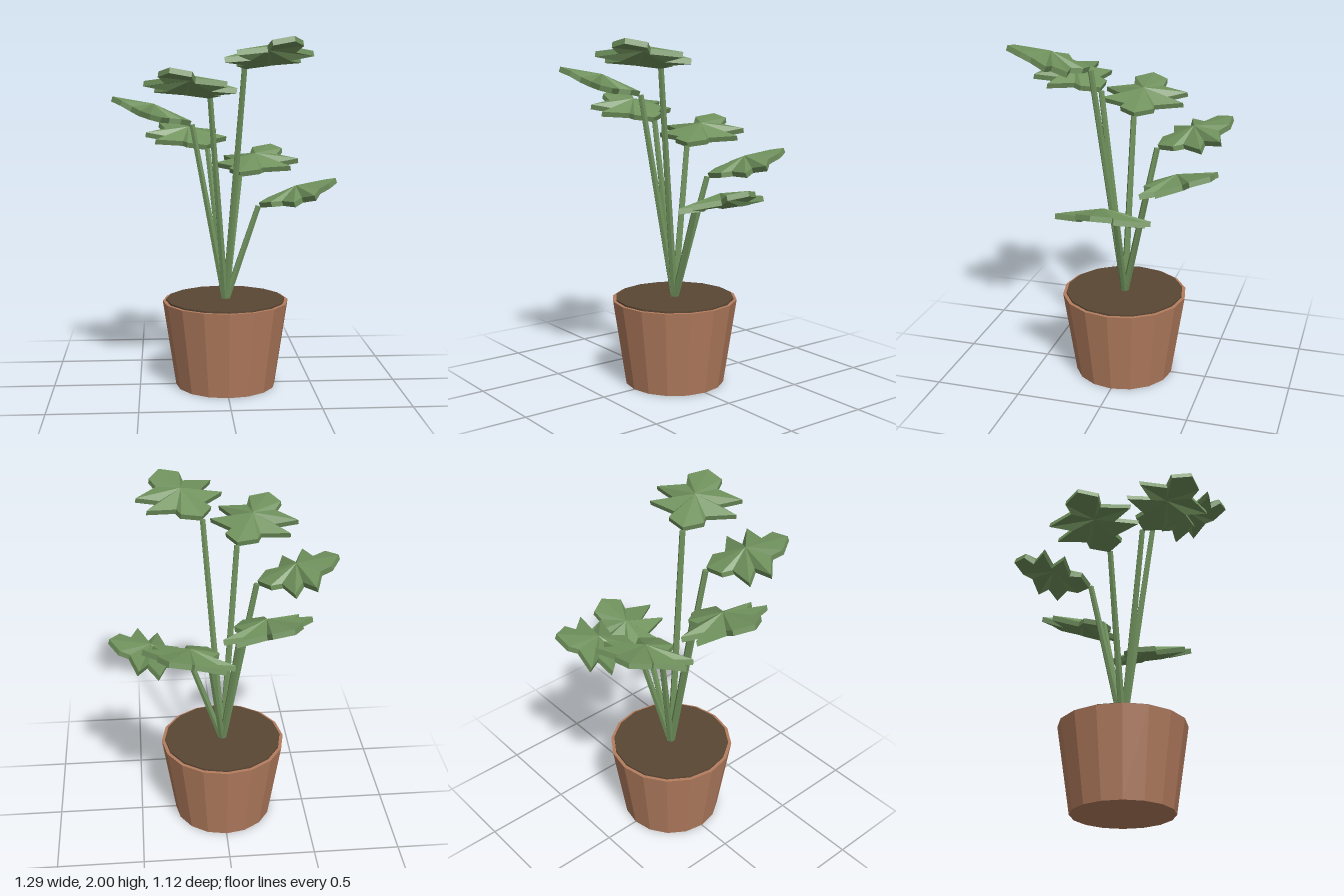
import * as THREE from 'three';

const terracotta = new THREE.MeshStandardMaterial({ name: 'terracotta', color: 0xb47d5f, flatShading: true });
const earth = new THREE.MeshStandardMaterial({ name: 'earth', color: 0x5a4735, flatShading: true });
const green = new THREE.MeshStandardMaterial({ name: 'leafGreen', color: 0x70925d, flatShading: true });

// Lobed leaf: raised centre, ridged lobes and spikes, low notches, constant thickness
function leafGeometry() {
  const thick = 0.03;
  // quarter outline: length, width, height
  const quarter = [[0.233, 0, 0], [0.173, 0.1, -0.003], [0.11, 0.09, -0.018], [0.06, 0.25, -0.02]];
  const front = [...quarter, [0, 0.13, -0.028], ...quarter.slice().reverse().map(([x, z, y]) => [-x, z, y])];
  const back = front.slice(1, -1).reverse().map(([x, z, y]) => [x, -z, y]);
  const rim = [...front, ...back].map(([x, z, y]) => new THREE.Vector3(x, y, z));
  const low = (p) => new THREE.Vector3(p.x, p.y - thick, p.z);
  const centre = new THREE.Vector3(0, 0.03, 0);
  const points = [];
  rim.forEach((p, i) => {
    const q = rim[(i + 1) % rim.length];
    points.push(centre, q, p); // top
    points.push(low(centre), low(p), low(q)); // underside
    points.push(p, q, low(q), p, low(q), low(p)); // edge
  });
  const geometry = new THREE.BufferGeometry().setFromPoints(points);
  geometry.computeVertexNormals();
  return geometry;
}

// Tapered straight stem between two points
function stemMesh(a, b) {
  const dir = b.clone().sub(a);
  const mesh = new THREE.Mesh(new THREE.CylinderGeometry(0.017, 0.021, dir.length(), 6), green);
  mesh.position.copy(a).addScaledVector(dir, 0.5);
  mesh.quaternion.setFromUnitVectors(new THREE.Vector3(0, 1, 0), dir.normalize());
  mesh.name = 'stem';
  return mesh;
}

export function createModel() {
  const plant = new THREE.Group();
  plant.name = 'pottedPlant';

  const pot = new THREE.Mesh(new THREE.CylinderGeometry(0.365, 0.29, 0.5, 16), terracotta);
  pot.name = 'pot';
  pot.position.y = 0.25;
  const soil = new THREE.Mesh(new THREE.CylinderGeometry(0.345, 0.345, 0.02, 16), earth);
  soil.name = 'soil';
  soil.position.y = 0.5;
  plant.add(pot, soil);

  // Six leaves around the pot, each at its own height
  const leafShape = leafGeometry();
  const tipHeights = [1.21, 2.0, 1.84, 1.68, 1.53, 1.37];
  tipHeights.forEach((tip, i) => {
    const angle = (i * Math.PI) / 3;
    const at = (r, y) => new THREE.Vector3(r * Math.cos(angle), y, r * Math.sin(angle));
    const leaf = new THREE.Mesh(leafShape, green);
    leaf.name = 'leaf';
    leaf.position.copy(at(0.415, tip - 0.07));
    leaf.rotation.set(0, -angle, 0.305);
    plant.add(leaf, stemMesh(at(0, 0.49), at(0.19, tip - 0.16)));
  });
  return plant;
}
